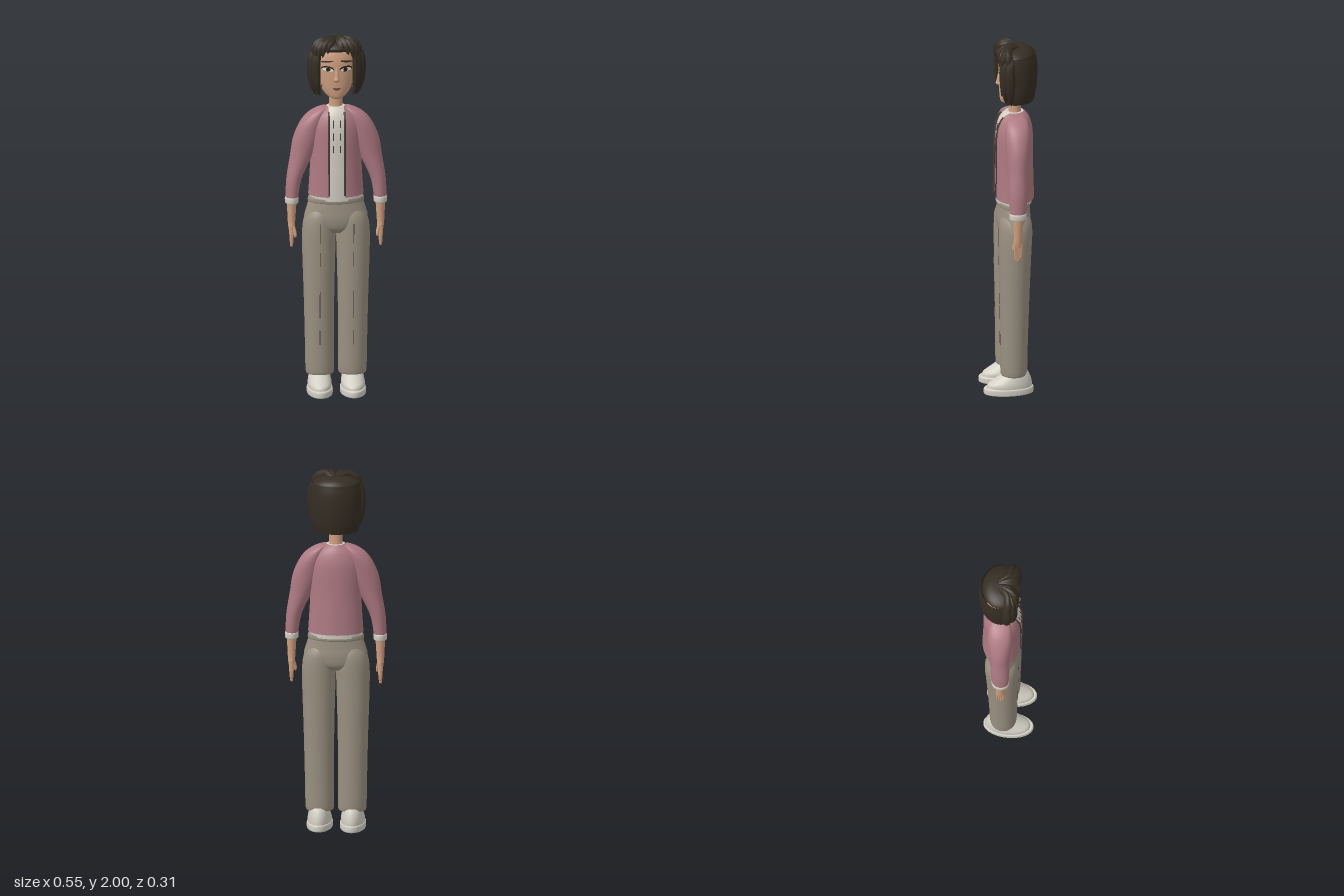
import * as THREE from 'three';

const mat = (name, color, open) => {
  const m = new THREE.MeshStandardMaterial({ color });
  m.name = name;
  if (open) m.side = THREE.DoubleSide;
  return m;
};

// Samples rings [y, cx, rx, cz, rz] along a smooth curve, bottom to top
function smoothRings(rings, steps) {
  const a = new THREE.CatmullRomCurve3(rings.map(r => new THREE.Vector3(r[0], r[1], r[2])), false, 'catmullrom');
  const b = new THREE.CatmullRomCurve3(rings.map(r => new THREE.Vector3(r[0], r[3], r[4])), false, 'catmullrom');
  return Array.from({ length: steps + 1 }, (_, i) => {
    const p = a.getPoint(i / steps), q = b.getPoint(i / steps);
    return [p.x, p.y, Math.max(p.z, 0.001), q.y, Math.max(q.z, 0.001)];
  });
}

// Skin over stacked ellipses; gap > 0 leaves a front opening of that half width
function loft(rings, { s = 1, gap = 0, n = 36, steps = rings.length * 4 } = {}) {
  const rows = smoothRings(rings, steps), pos = [], idx = [];
  const cols = gap ? n + 1 : n;
  for (const [y, cx, rx, cz, rz] of rows) {
    const g = gap ? Math.asin(Math.min(1, gap / rx)) : 0;
    for (let i = 0; i < cols; i++) {
      const a = Math.PI / 2 + g + (2 * Math.PI - 2 * g) * i / n;
      pos.push(s * cx + rx * Math.cos(a), y, cz + rz * Math.sin(a));
    }
  }
  for (let r = 0; r < steps; r++) for (let i = 0; i < n; i++) {
    const p = r * cols + i, q = r * cols + (i + 1) % cols;
    idx.push(p, p + cols, q, q, p + cols, q + cols);
  }
  if (!gap) for (const r of [0, steps]) {
    const [y, cx, , cz] = rows[r], c = pos.length / 3;
    pos.push(s * cx, y, cz, ...pos.slice(r * n * 3, (r + 1) * n * 3));
    for (let i = 0; i < n; i++) {
      const p = c + 1 + i, q = c + 1 + (i + 1) % n;
      if (r) idx.push(c, q, p); else idx.push(c, p, q);
    }
  }
  const geo = new THREE.BufferGeometry();
  geo.setAttribute('position', new THREE.Float32BufferAttribute(pos, 3));
  geo.setIndex(idx);
  geo.computeVertexNormals();
  return geo;
}

const curveOf = pts => new THREE.CatmullRomCurve3(pts.map(p => new THREE.Vector3(...p)));
const cord = (pts, r) => new THREE.TubeGeometry(curveOf(pts), 16, r, 6);

// Tapered strand of hair
function strand(pts, r) {
  const curve = curveOf(pts), geo = new THREE.TubeGeometry(curve, 14, 1, 8);
  const p = geo.attributes.position, v = new THREE.Vector3();
  for (let i = 0; i < p.count; i++) {
    const t = Math.floor(i / 9) / 14, c = curve.getPointAt(t);
    const w = r * (0.06 + Math.pow(Math.sin(Math.PI * (0.12 + 0.88 * t)), 0.7));
    v.fromBufferAttribute(p, i).sub(c).multiplyScalar(w).add(c);
    p.setXYZ(i, v.x, v.y, v.z);
  }
  geo.computeVertexNormals();
  return geo;
}

const HEAD = [
  [1.655, 0, 0.022, 0.018, 0.022], [1.668, 0, 0.05, 0.002, 0.046], [1.7, 0, 0.077, -0.015, 0.067],
  [1.75, 0, 0.097, -0.024, 0.079], [1.81, 0, 0.108, -0.028, 0.085], [1.87, 0, 0.109, -0.03, 0.086],
  [1.92, 0, 0.099, -0.033, 0.078], [1.955, 0, 0.068, -0.035, 0.055], [1.968, 0, 0.02, -0.035, 0.02]];
const headRows = smoothRings(HEAD, 200);
function faceZ(x, y) {
  const [, , rx, cz, rz] = headRows.reduce((a, b) => Math.abs(b[0] - y) < Math.abs(a[0] - y) ? b : a);
  return cz + rz * Math.sqrt(Math.max(0, 1 - (x / rx) ** 2));
}
// Thin oval laid on the face
function decal(x, y, w, h, off, tilt = 0) {
  const geo = new THREE.CircleGeometry(1, 28).scale(w, h, 1).rotateZ(tilt).translate(x, y, 0);
  const p = geo.attributes.position;
  for (let i = 0; i < p.count; i++) p.setZ(i, faceZ(p.getX(i), p.getY(i)) + off);
  geo.computeVertexNormals();
  return geo;
}

const JACKET = [
  [1.11, 0, 0.15, -0.026, 0.108], [1.2, 0, 0.144, -0.026, 0.106], [1.32, 0, 0.138, -0.025, 0.104],
  [1.43, 0, 0.14, -0.025, 0.104], [1.5, 0, 0.135, -0.026, 0.1], [1.55, 0, 0.115, -0.027, 0.088],
  [1.58, 0, 0.085, -0.028, 0.073], [1.602, 0, 0.05, -0.029, 0.052]];
const SLEEVE = [
  [1.09, 0.24, 0.034, -0.012, 0.044], [1.2, 0.227, 0.042, -0.015, 0.05], [1.32, 0.19, 0.06, -0.02, 0.055],
  [1.42, 0.16, 0.074, -0.023, 0.063], [1.5, 0.135, 0.067, -0.026, 0.068], [1.55, 0.11, 0.055, -0.028, 0.064],
  [1.58, 0.085, 0.037, -0.029, 0.052], [1.597, 0.06, 0.02, -0.03, 0.03]];
const LEG = [
  [0.108, 0.088, 0.066, -0.012, 0.06], [0.125, 0.088, 0.077, -0.012, 0.072], [0.3, 0.09, 0.079, -0.013, 0.075],
  [0.55, 0.092, 0.083, -0.015, 0.081], [0.8, 0.093, 0.09, -0.018, 0.088], [0.92, 0.091, 0.091, -0.021, 0.091],
  [0.99, 0.087, 0.081, -0.022, 0.086], [1.04, 0.08, 0.06, -0.022, 0.065]];

export function createModel() {
  const group = new THREE.Group();
  group.name = 'standingFigure';
  const skin = mat('skin', 0xcf9f7f), hair = mat('hair', 0x352d23, true), pink = mat('jacketPink', 0xae7a82, true);
  const khaki = mat('trouserKhaki', 0x9a9081), cream = mat('cream', 0xd3cfc4), seam = mat('seam', 0x4a3d38);
  const eyeWhite = mat('eyeWhite', 0xe6e0d6), dark = mat('eyeDark', 0x2a2019), lip = mat('lip', 0xa86c5a);
  const add = (name, geo, m) => {
    const mesh = new THREE.Mesh(geo, m);
    mesh.name = name;
    group.add(mesh);
    return mesh;
  };

  // Clothing on the body
  add('jacketBody', loft(JACKET, { gap: 0.042, n: 56 }), pink);
  add('shirt', loft([[1.085, 0, 0.138, -0.025, 0.097],
    ...JACKET.slice(1).map(([y, x, rx, cz, rz]) => [y, x, rx * 0.93, cz, rz * 0.94])], { n: 56 }), cream);
  add('hips', loft([[0.9, 0, 0.1, -0.022, 0.06], [0.93, 0, 0.15, -0.022, 0.084], [0.98, 0, 0.172, -0.022, 0.092],
    [1.03, 0, 0.161, -0.022, 0.089], [1.075, 0, 0.147, -0.023, 0.086]]), khaki);
  add('waistband', loft([[1.068, 0, 0.145, -0.023, 0.086], [1.073, 0, 0.152, -0.023, 0.092],
    [1.092, 0, 0.151, -0.023, 0.093], [1.098, 0, 0.145, -0.023, 0.089]]), khaki);

  for (const s of [1, -1]) {
    const side = s > 0 ? 'left' : 'right';
    add(side + 'Sleeve', loft(SLEEVE, { s }), pink);
    add(side + 'Cuff', loft([[1.06, 0.24, 0.029, -0.012, 0.04], [1.066, 0.24, 0.036, -0.012, 0.046],
      [1.092, 0.24, 0.037, -0.012, 0.047], [1.1, 0.24, 0.03, -0.012, 0.041]], { s }), cream);

    // Jacket edge and shirt seams
    const edge = x => [1.12, 1.2, 1.32, 1.43, 1.5, 1.55, 1.58].map((y, i) => {
      const [, , rx, cz, rz] = JACKET[i];
      return [s * x, y, cz + rz * Math.sqrt(1 - (x / rx) ** 2) + 0.002];
    });
    add(side + 'JacketEdge', cord(edge(0.043), 0.005), seam);
    for (const y of [1.36, 1.43, 1.5])
      add(side + 'ShirtSeam', cord([[s * 0.019, y, 0.073], [s * 0.019, y + 0.04, y > 1.48 ? 0.062 : 0.073]], 0.0022), seam);

    // Trouser leg with pressed crease
    add(side + 'TrouserLeg', loft(LEG, { s }), khaki);
    for (const [a, b] of [[0.28, 0.36], [0.43, 0.58], [0.72, 0.8], [0.85, 0.96]])
      add(side + 'Crease', cord([[s * 0.091, a, 0.059 + 0.012 * a], [s * 0.091, b, 0.059 + 0.012 * b]], 0.0025), seam);

    // Shoe
    add(side + 'Sole', loft([[0, 0.09, 0.066, 0.016, 0.131], [0.006, 0.09, 0.07, 0.016, 0.136],
      [0.03, 0.09, 0.07, 0.016, 0.136], [0.037, 0.09, 0.066, 0.015, 0.131]], { s }), cream);
    add(side + 'ShoeUpper', loft([[0.03, 0.09, 0.064, 0.012, 0.124], [0.055, 0.09, 0.065, 0.009, 0.12],
      [0.08, 0.09, 0.061, -0.006, 0.1], [0.105, 0.09, 0.055, -0.02, 0.077], [0.125, 0.09, 0.048, -0.026, 0.06]], { s }), cream);

    // Forearm and hand
    add(side + 'Forearm', loft([[0.9, 0.241, 0.013, -0.012, 0.022], [0.93, 0.241, 0.018, -0.012, 0.025],
      [0.97, 0.241, 0.021, -0.012, 0.023], [1.08, 0.24, 0.027, -0.012, 0.03]], { s }), skin);
    for (let f = 0; f < 4; f++) {
      const z = 0.004 - f * 0.011, tip = 0.822 + [0.006, 0, 0.004, 0.018][f];
      add(side + 'Finger', loft([[tip - 0.008, 0.241, 0.003, z * 0.8 - 0.003, 0.002], [tip, 0.241, 0.008, z * 0.8 - 0.003, 0.006],
        [0.87, 0.241, 0.011, z, 0.007], [0.92, 0.241, 0.013, z, 0.008]], { s, n: 10 }), skin);
    }
    add(side + 'Thumb', loft([[0.872, 0.222, 0.004, 0.012, 0.004], [0.885, 0.222, 0.008, 0.011, 0.008],
      [0.91, 0.226, 0.009, 0.006, 0.009], [0.945, 0.235, 0.009, -0.002, 0.01]], { s, n: 12 }), skin);

    // Eye and brow
    const x = s * 0.049;
    add(side + 'EyeRim', decal(x, 1.827, 0.034, 0.016, 0.003, s * 0.08), dark);
    add(side + 'EyeWhite', decal(x, 1.824, 0.03, 0.0115, 0.005, s * 0.08), eyeWhite);
    add(side + 'Iris', decal(s * 0.047, 1.825, 0.012, 0.0115, 0.0065), dark);
    add(side + 'Brow', decal(s * 0.053, 1.868, 0.035, 0.005, 0.004, -s * 0.14), hair);

    // Side locks framing the face
    for (const [px, pz, low, r] of [[0.108, 0.036, 1.672, 0.026], [0.126, 0.012, 1.668, 0.027], [0.098, 0.052, 1.74, 0.014]])
      add(side + 'SideLock', strand([[s * px * 0.8, 1.95, pz - 0.01], [s * px, 1.9, pz], [s * (px + 0.005), 1.8, pz],
        [s * (px - 0.004), 1.72, pz - 0.004], [s * (px - 0.02), low, pz - 0.01]], r), hair);
  }

  // Head and neck
  add('neck', loft([[1.57, 0, 0.042, -0.031, 0.039], [1.61, 0, 0.036, -0.031, 0.034], [1.7, 0, 0.036, -0.03, 0.034]]), skin);
  add('head', loft(HEAD, { n: 48 }), skin);
  add('nose', loft([[1.752, 0, 0.009, 0.051, 0.008], [1.765, 0, 0.017, 0.054, 0.019], [1.782, 0, 0.013, 0.053, 0.016],
    [1.83, 0, 0.009, 0.05, 0.009], [1.85, 0, 0.006, 0.05, 0.005]], { n: 16 }), skin);
  add('mouth', decal(0, 1.716, 0.022, 0.003, 0.0035), dark);
  add('lowerLip', decal(0, 1.709, 0.015, 0.004, 0.003), lip);

  // Bobbed hair: open shell, crown and swept fringe
  add('hairShell', loft([[1.675, 0, 0.122, -0.03, 0.104], [1.73, 0, 0.135, -0.033, 0.113], [1.81, 0, 0.14, -0.035, 0.118],
    [1.89, 0, 0.138, -0.035, 0.117], [1.942, 0, 0.129, -0.034, 0.109]], { gap: 0.102, n: 40 }), hair);
  add('hairCrown', loft([[1.925, 0, 0.122, -0.03, 0.1], [1.942, 0, 0.125, -0.03, 0.104], [1.962, 0, 0.1, -0.032, 0.085],
    [1.976, 0, 0.06, -0.034, 0.052], [1.981, 0, 0.005, -0.035, 0.005]]), hair);
  const fringe = [[-0.132, 1.87, 0.02], [-0.118, 1.86, 0.045], [-0.1, 1.875, 0.058], [-0.078, 1.895, 0.064], [-0.05, 1.915, 0.064],
    [0.03, 1.925, 0.064], [0.062, 1.908, 0.064], [0.09, 1.885, 0.06], [0.112, 1.865, 0.048], [0.13, 1.875, 0.022]];
  fringe.forEach(([x, y, z], i) => add('fringeLock', strand([
    [x * 0.15, 1.972, -0.045], [x * 0.45, 1.98 - (i % 3) * 0.004, z * 0.3],
    [x * 0.85, 1.953, z * 0.85], [x, y, z]], 0.021), hair));
  return group;
}
